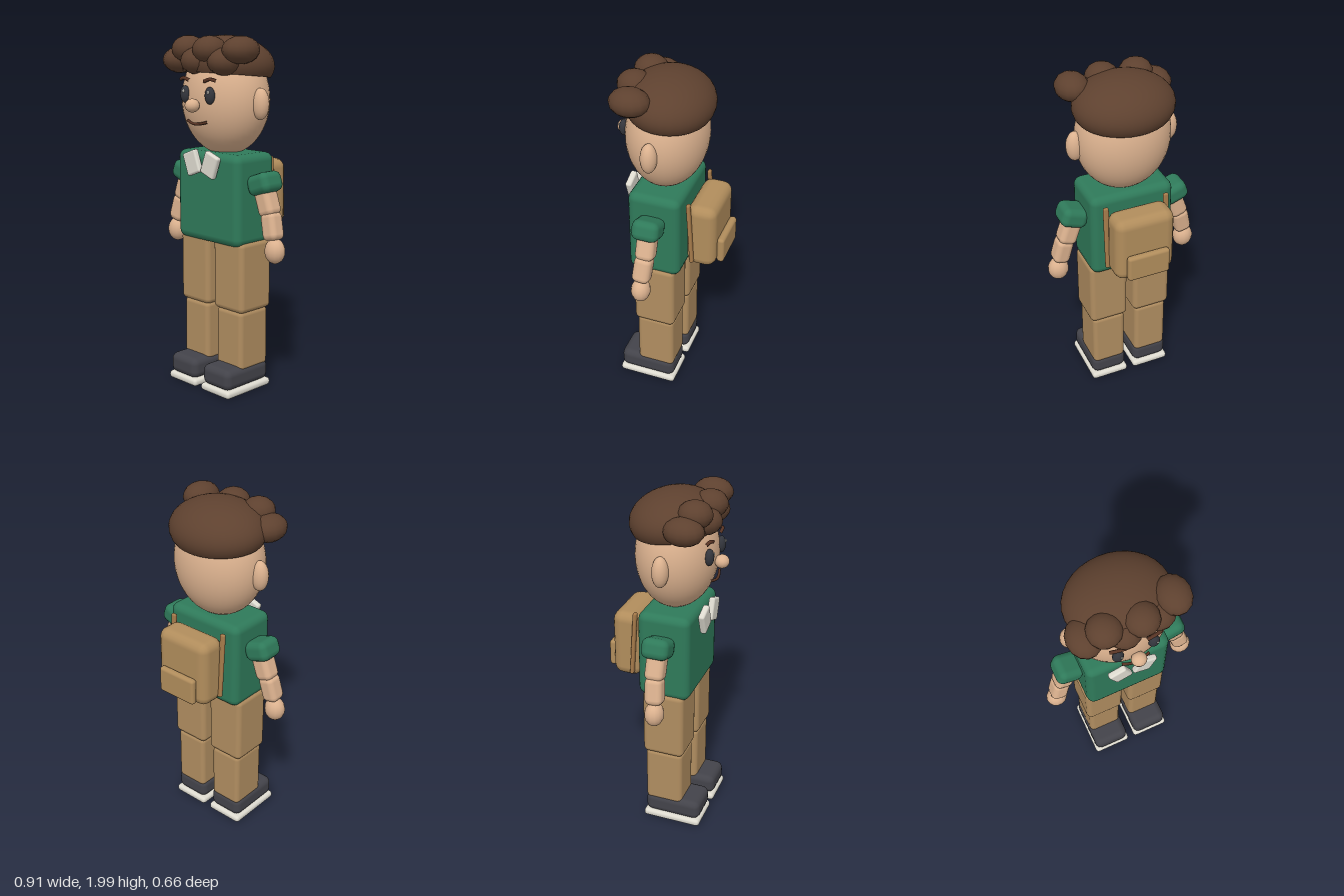
import * as THREE from 'three';
import { RoundedBoxGeometry } from 'three/addons/geometries/RoundedBoxGeometry.js';

const mat = (name, color, side = THREE.FrontSide) => {
  const m = new THREE.MeshStandardMaterial({ color, side });
  m.name = name;
  return m;
};

export function createModel() {
  const root = new THREE.Group();
  root.name = 'boyWithBackpack';

  const skin = mat('skin', 0xdcb28f);
  const brown = mat('hairBrown', 0x5e412f, THREE.DoubleSide);
  const green = mat('shirtGreen', 0x2f7a5a);
  const khaki = mat('trouserKhaki', 0xb08d60);
  const tan = mat('bagTan', 0xb18d5c);
  const strapTan = mat('strapTan', 0xa57a4a);
  const charcoal = mat('shoeCharcoal', 0x43434a);
  const cream = mat('cream', 0xdedbd0);
  const dark = mat('eyeDark', 0x34363d);
  const lip = mat('browAndLip', 0x5a3525);

  const add = (name, geometry, material, pos, rot = [0, 0, 0], parent = root) => {
    const mesh = new THREE.Mesh(geometry, material);
    mesh.name = name;
    mesh.position.set(...pos);
    mesh.rotation.set(...rot);
    parent.add(mesh);
    return mesh;
  };
  const box = (name, material, size, radius, pos, rot) =>
    add(name, new RoundedBoxGeometry(...size, 2, radius), material, pos, rot);
  const ball = (name, material, radii, pos, w = 32, h = 20) =>
    add(name, new THREE.SphereGeometry(1, w, h).scale(...radii), material, pos);
  const tube = (name, material, points, radius) =>
    add(name, new THREE.TubeGeometry(
      new THREE.CatmullRomCurve3(points.map((p) => new THREE.Vector3(...p))), 14, radius, 6), material, [0, 0, 0]);

  // Head and face
  ball('head', skin, [0.267, 0.31, 0.223], [0, 1.65, 0.037], 40, 28);
  ball('nose', skin, [0.042, 0.037, 0.04], [0, 1.628, 0.288], 14, 10);
  tube('mouth', lip, [[-0.078, 1.541, 0.25], [-0.04, 1.531, 0.26], [0, 1.526, 0.264],
    [0.04, 1.531, 0.26], [0.078, 1.541, 0.25]], 0.008);

  // Hair cap, tipped down at the back
  add('hairCap', new THREE.SphereGeometry(1, 32, 16, 0, Math.PI * 2, 0, Math.PI * 0.62).scale(0.28, 0.158, 0.238),
    brown, [0, 1.84, 0.022], [-0.1, 0, 0]);

  // Curls along the fringe, alternating low and high
  const curlZ = [0.155, 0.183, 0.203];
  for (let i = 0; i < 6; i++) {
    const z = curlZ[Math.min(i, 5 - i)];
    ball('hairCurl', brown, [0.092, 0.074, i % 5 ? 0.094 : 0.11],
      [-0.235 + i * 0.094, i % 2 ? 1.924 : 1.862, z], 14, 10);
  }

  // Torso
  box('shirt', green, [0.49, 0.51, 0.3], 0.045, [0, 1.11, 0.04]);

  for (const s of [-1, 1]) {
    // Face pairs
    ball('ear', skin, [0.05, 0.086, 0.045], [s * 0.272, 1.638, 0.042], 18, 12);
    ball('eye', dark, [0.031, 0.047, 0.024], [s * 0.098, 1.683, 0.25], 18, 12);
    ball('eyeGlint', cream, [0.007, 0.009, 0.004], [s * 0.098 + 0.011, 1.701, 0.272], 8, 6);
    tube('eyebrow', lip, [[s * 0.058, 1.757, 0.254], [s * 0.1, 1.77, 0.253], [s * 0.14, 1.762, 0.242]], 0.01);

    // Collar flaps
    box('collarFlap', cream, [0.105, 0.13, 0.036], 0.012, [s * 0.071, 1.305, 0.222], [0, 0, -s * 0.36]);

    // Arms
    box('sleeve', green, [0.155, 0.115, 0.155], 0.04, [s * 0.305, 1.212, 0.04], [0, 0, s * 0.34]);
    box('upperArm', skin, [0.105, 0.16, 0.105], 0.032, [s * 0.327, 1.115, 0.04], [0, 0, s * 0.34]);
    box('forearm', skin, [0.098, 0.155, 0.1], 0.032, [s * 0.37, 0.985, 0.047], [-0.08, 0, s * 0.24]);
    ball('hand', skin, [0.06, 0.07, 0.054], [s * 0.396, 0.853, 0.053], 14, 12);

    // Legs and shoes
    box('thigh', khaki, [0.23, 0.405, 0.242], 0.03, [s * 0.135, 0.68, 0.04]);
    box('shin', khaki, [0.2, 0.35, 0.222], 0.028, [s * 0.135, 0.31, 0.04]);
    box('shoe', charcoal, [0.215, 0.12, 0.335], 0.04, [s * 0.135, 0.106, 0.094]);
    box('sole', cream, [0.23, 0.044, 0.348], 0.02, [s * 0.135, 0.029, 0.092]);

    // Backpack straps
    box('backpackStrap', strapTan, [0.032, 0.385, 0.022], 0.01, [s * 0.178, 1.138, -0.154], [0.065, 0, 0]);
  }

  // Backpack
  box('backpack', tan, [0.35, 0.39, 0.168], 0.055, [0, 1.11, -0.207]);
  box('backpackPocket', tan, [0.248, 0.155, 0.042], 0.018, [0, 1.017, -0.31]);

  return root;
}
